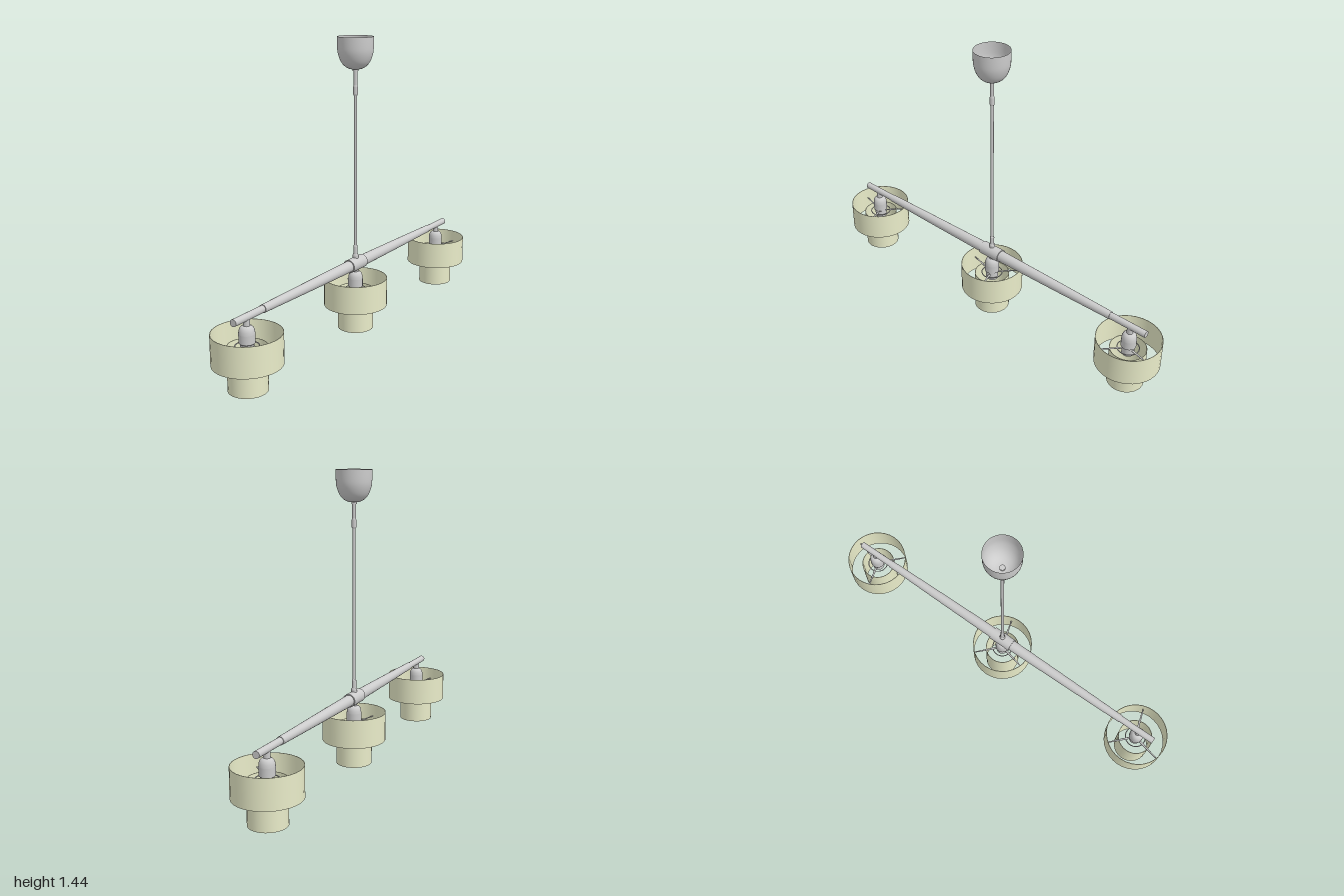
import * as THREE from 'three';

const grey = new THREE.MeshStandardMaterial({ color: 0xcccccc, side: THREE.DoubleSide });
const cream = new THREE.MeshStandardMaterial({ color: 0xe9ecc9, side: THREE.DoubleSide });

function add(parent, name, geometry, material = grey) {
  const mesh = new THREE.Mesh(geometry, material);
  mesh.name = name;
  parent.add(mesh);
  return mesh;
}

// Revolve straight segments separately so that profile corners stay sharp
function turned(parent, name, profile, material = grey) {
  const group = new THREE.Group();
  group.name = name;
  for (let i = 0; i < profile.length - 1; i++) {
    const pair = [profile[i], profile[i + 1]].map(([r, y]) => new THREE.Vector2(r, y));
    add(group, name + 'Section', new THREE.LatheGeometry(pair, 32), material);
  }
  parent.add(group);
  return group;
}

// Thin open drum with a small wall thickness
function drum(parent, name, radius, bottom, top) {
  const t = 0.002;
  return turned(parent, name, [
    [radius, bottom], [radius, top], [radius - t, top], [radius - t, bottom], [radius, bottom],
  ], cream);
}

function createLamp(z, turn) {
  const lamp = new THREE.Group();
  lamp.name = 'lamp';
  lamp.position.z = z;

  drum(lamp, 'outerShade', 0.156, 0.12, 0.26);
  drum(lamp, 'innerShade', 0.088, 0, 0.2);

  // Neck, domed cap and bulb holder
  turned(lamp, 'neck', [[0.015, 0.32], [0.015, 0.285]]);
  const dome = [[0.015, 0.291], [0.024, 0.288], [0.031, 0.28], [0.035, 0.268], [0.036, 0.255]];
  add(lamp, 'socketCap', new THREE.LatheGeometry(
    dome.map(([r, y]) => new THREE.Vector2(r, y)).reverse(), 32));
  turned(lamp, 'socket', [
    [0.036, 0.255], [0.036, 0.215], [0.03, 0.21], [0.03, 0.17], [0.022, 0.17], [0.022, 0.2], [0, 0.2],
  ]);

  // Ring and three tapering spokes that carry the shades
  const spider = new THREE.Group();
  spider.name = 'shadeCarrier';
  spider.position.y = 0.2;
  spider.rotation.y = turn;
  const ring = add(spider, 'carrierRing', new THREE.TorusGeometry(0.052, 0.0025, 8, 40));
  ring.rotation.x = Math.PI / 2;
  for (let i = 0; i < 3; i++) {
    const arm = new THREE.Group();
    arm.name = 'spoke';
    arm.rotation.y = i * Math.PI * 2 / 3;
    const rod = add(arm, 'spokeRod', new THREE.CylinderGeometry(0.003, 0.006, 0.128, 8));
    rod.rotation.z = -Math.PI / 2;
    rod.position.x = 0.091;
    rod.scale.x = 0.5;
    spider.add(arm);
  }
  lamp.add(spider);
  return lamp;
}

export function createModel() {
  const model = new THREE.Group();
  model.name = 'pendantLight';

  // Ceiling cup, open at the top
  const cup = [
    [0.012, 1.283], [0.03, 1.286], [0.05, 1.297], [0.066, 1.315], [0.077, 1.338],
    [0.084, 1.365], [0.086, 1.395], [0.086, 1.436],
  ];
  const curve = new THREE.SplineCurve(cup.map(([r, y]) => new THREE.Vector2(r, y)));
  add(model, 'ceilingCup', new THREE.LatheGeometry(curve.getPoints(28), 40));

  // Hanging rod with end sleeves
  turned(model, 'hangingRod', [
    [0.014, 0.34], [0.014, 0.375], [0.011, 0.38], [0.011, 0.42], [0.008, 0.425], [0.008, 1.16],
    [0.011, 1.165], [0.011, 1.2], [0.009, 1.21], [0.009, 1.275], [0.013, 1.275], [0.013, 1.29], [0, 1.29],
  ]);

  // Long tapered crossbar with a central collar
  const half = [[0.033, 0.06], [0.028, 0.06], [0.024, 0.4], [0.019, 0.735], [0.0165, 0.735], [0.0165, 0.93], [0, 0.93]];
  const bar = turned(model, 'crossbar', [
    ...half.map(([r, l]) => [r, -l]).reverse(), ...half,
  ]);
  bar.rotation.x = Math.PI / 2;
  bar.position.y = 0.329;

  // Three lamps, the rear one turned half a circle
  const turn = THREE.MathUtils.degToRad(17);
  model.add(createLamp(0.844, turn), createLamp(0, turn), createLamp(-0.844, turn + Math.PI));
  return model;
}
